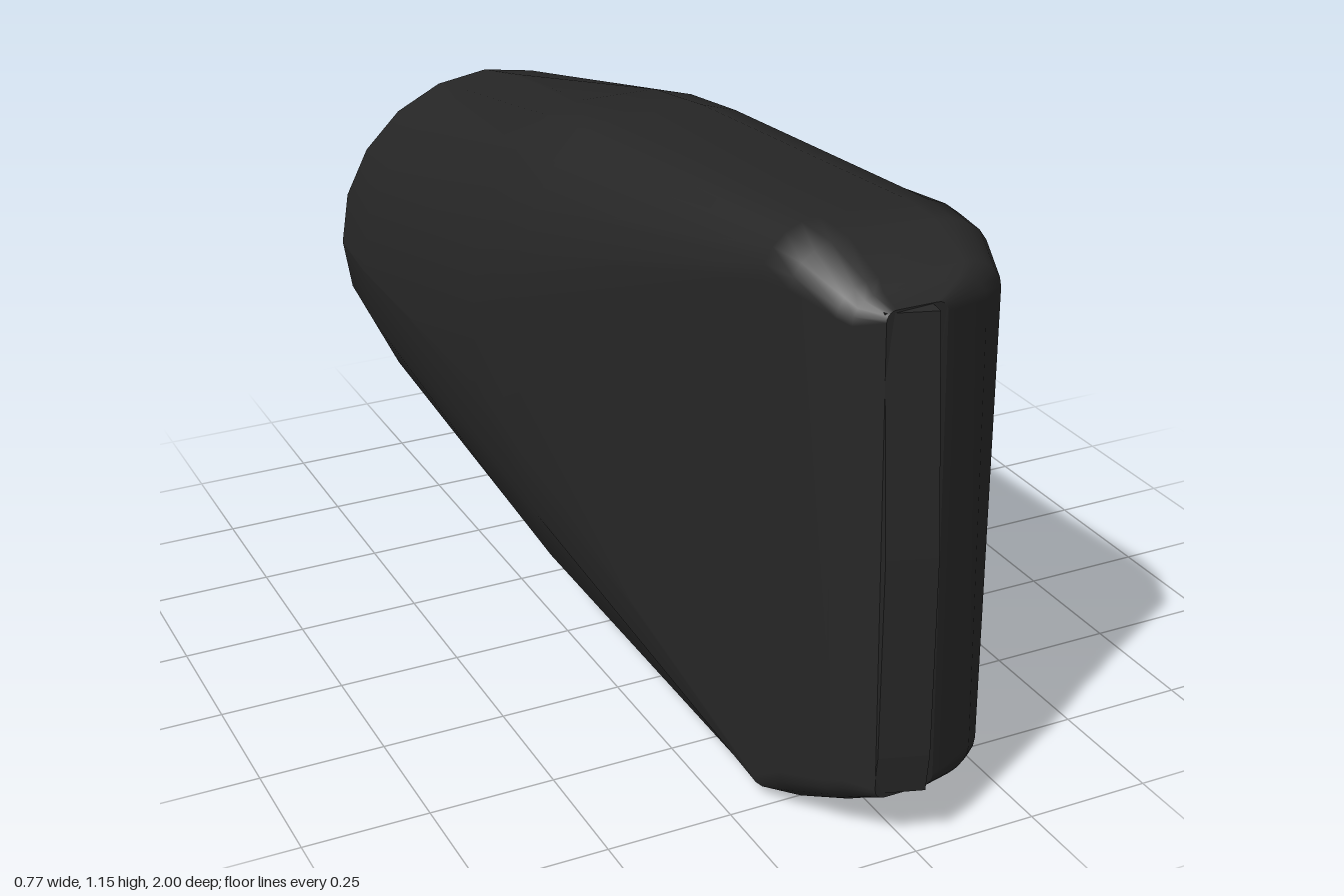
import * as THREE from 'three';

const SEG = 5; // segments per rounded corner

// Sections from back to nose: z, left/right x, bottom/top y,
// corner radii [rx, ry] for +x top, -x top, -x bottom, +x bottom
const round = (rx, ry) => [[rx, ry], [rx, ry], [rx, ry], [rx, ry]];
const SECTIONS = [
  [-1, -0.37, 0.365, 0.18, 0.912, round(0.365, 0.365)],
  [-0.8, -0.39, 0.382, 0.143, 0.957, round(0.382, 0.405)],
  [-0.2, -0.36, 0.322, 0.033, 1.09, [[0.27, 0.47], [0.25, 0.42], [0.33, 0.47], [0.27, 0.47]]],
  [0, -0.345, 0.3, 0.003, 1.115, [[0.24, 0.45], [0.22, 0.36], [0.32, 0.45], [0.24, 0.45]]],
  [0.72, -0.187, 0.23, 0, 1.15, [[0.13, 0.1], [0.11, 0.1], [0.1, 0.05], [0.13, 0.1]]],
  [0.79, -0.17, 0.225, 0.015, 1.135, round(0.11, 0.08)],
  [0.88, -0.13, 0.195, 0.06, 1.09, round(0.08, 0.06)],
  [0.92, -0.11, 0.155, 0.085, 1.07, round(0.06, 0.05)],
  [0.965, -0.07, 0.05, 0.11, 1.055, round(0.02, 0.02)],
];

// One rounded cross-section, counter-clockwise seen from the front
function ring([z, xl, xr, y0, y1, radii]) {
  const pts = [];
  radii.forEach(([rx, ry], c) => {
    const cx = c === 0 || c === 3 ? xr - rx : xl + rx;
    const cy = c < 2 ? y1 - ry : y0 + ry;
    for (let i = 0; i <= SEG; i++) {
      const a = (c + i / SEG) * Math.PI / 2;
      const y = cy + ry * Math.sin(a);
      const rake = z > 0.9 ? Math.max(0, y - 0.6) * 0.05 : 0;
      pts.push(new THREE.Vector3(cx + rx * Math.cos(a), y, z - rake));
    }
  });
  return pts;
}

function loft(rings) {
  const n = rings[0].length;
  const index = [];
  for (let r = 0; r < rings.length - 1; r++) {
    for (let i = 0; i < n; i++) {
      const a = r * n + i, b = r * n + (i + 1) % n;
      index.push(a, b, b + n, a, b + n, a + n);
    }
  }
  const g = new THREE.BufferGeometry().setFromPoints(rings.flat());
  g.setIndex(index);
  g.computeVertexNormals();
  return g;
}

// Flat end face over a ring
function cap(pts, front) {
  const centre = pts.reduce((s, p) => s.add(p), new THREE.Vector3()).divideScalar(pts.length);
  const g = new THREE.BufferGeometry().setFromPoints([centre, ...pts]);
  const index = [];
  pts.forEach((_, i) => {
    const a = i + 1, b = (i + 1) % pts.length + 1;
    index.push(0, ...(front ? [a, b] : [b, a]));
  });
  g.setIndex(index);
  g.computeVertexNormals();
  return g;
}

export function createModel() {
  const group = new THREE.Group();
  group.name = 'taperedHousing';
  const material = new THREE.MeshStandardMaterial({ color: 0x262626 });
  const add = (geometry, name) => {
    const mesh = new THREE.Mesh(geometry, material);
    mesh.name = name;
    group.add(mesh);
  };

  // Body: round at the back, a narrow upright slab at the front
  const rings = SECTIONS.map(ring);
  add(loft(rings), 'body');
  add(cap(rings[0], false), 'backFace');
  add(cap(rings[rings.length - 1], true), 'noseFace');

  // Raised strip down the nose, drawn in profile (z, y)
  const profile = new THREE.Shape([
    [0.9, 0.11], [0.99, 0.12], [1, 0.2], [1, 0.6], [0.967, 1.05], [0.9, 1.06],
  ].map(([z, y]) => new THREE.Vector2(z, y)));
  const strip = new THREE.ExtrudeGeometry(profile, { depth: 0.09, bevelEnabled: false });
  strip.rotateY(-Math.PI / 2);
  strip.translate(0.02, 0, 0);
  // Sweep the strip's -x edge back into the body
  const p = strip.attributes.position;
  for (let i = 0; i < p.count; i++) {
    if (p.getX(i) < -0.03) p.setZ(i, p.getZ(i) - 0.03);
  }
  strip.computeVertexNormals();
  add(strip, 'noseStrip');

  return group;
}
